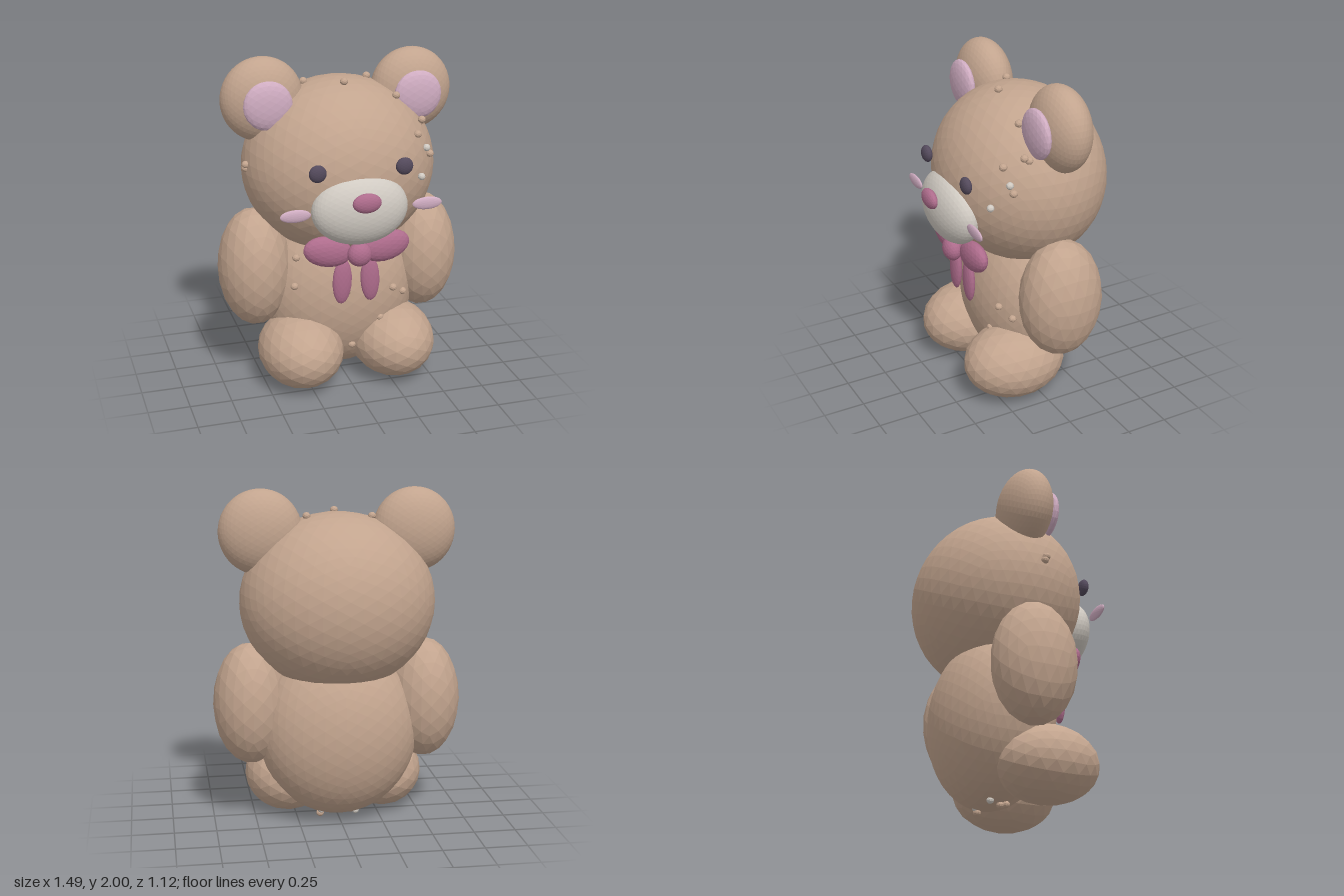
import * as THREE from 'three';

const mat = (name, color) => {
  const m = new THREE.MeshStandardMaterial({ color });
  m.name = name;
  m.flatShading = true;
  return m;
};

export function createModel() {
  const bear = new THREE.Group();
  bear.name = 'teddyBear';

  const fur = mat('tan fur', 0xc2a48e);
  const cream = mat('cream', 0xd0cac2);
  const pink = mat('dusty pink', 0xae6c8c);
  const blush = mat('pale pink', 0xd0adc2);
  const dark = mat('dark plum', 0x544a5c);

  // Faceted spheres shared by all parts
  const fine = new THREE.IcosahedronGeometry(1, 7);
  const coarse = new THREE.IcosahedronGeometry(1, 3);
  const tiny = new THREE.IcosahedronGeometry(1, 1);

  const blob = (name, geo, material, pos, radii, tilt = 0) => {
    const mesh = new THREE.Mesh(geo, material);
    mesh.name = name;
    mesh.position.set(...pos);
    mesh.scale.set(...radii);
    mesh.rotation.z = tilt;
    bear.add(mesh);
  };
  // Mirrored pair, given for the left (+x) side
  const pair = (name, geo, material, [x, y, z], radii, tilt = 0) => {
    blob(name + 'Left', geo, material, [x, y, z], radii, tilt);
    blob(name + 'Right', geo, material, [-x, y, z], radii, -tilt);
  };

  // Body and limbs
  blob('body', fine, fur, [0, 0.55, -0.085], [0.48, 0.52, 0.355]);
  pair('arm', coarse, fur, [0.525, 0.725, -0.052], [0.22, 0.367, 0.25]);
  pair('leg', coarse, fur, [0.29, 0.23, 0.125], [0.257, 0.227, 0.316]);

  // Head and ears
  blob('head', fine, fur, [0, 1.33, -0.06], [0.58, 0.53, 0.5]);
  pair('ear', fine, fur, [0.453, 1.75, -0.072], [0.245, 0.25, 0.152]);
  pair('innerEar', coarse, blush, [0.45, 1.745, 0.075], [0.145, 0.145, 0.047]);

  // Face
  blob('muzzle', fine, cream, [0, 1.19, 0.383], [0.285, 0.212, 0.137]);
  blob('nose', coarse, pink, [0, 1.268, 0.52], [0.085, 0.058, 0.035]);
  pair('eye', coarse, dark, [0.255, 1.43, 0.413], [0.051, 0.051, 0.029]);
  pair('cheek', coarse, blush, [0.39, 1.2, 0.43], [0.09, 0.038, 0.015]);

  // Bow tie
  pair('bowLoop', coarse, pink, [0.175, 0.925, 0.33], [0.148, 0.093, 0.056], 0.2);
  pair('bowTail', coarse, pink, [0.085, 0.725, 0.32], [0.058, 0.143, 0.03], 0.04);
  blob('bowKnot', coarse, pink, [0, 0.91, 0.385], [0.073, 0.073, 0.055]);

  // Small fur tufts
  const tufts = [
    [0, 1.855, 0.07], [-0.2, 1.835, -0.09], [0.185, 1.84, -0.09], [0.305, 1.76, 0.105],
    [0.45, 1.615, 0.15], [0.45, 1.595, 0.12], [0.39, 1.56, 0.25], [0.475, 1.43, 0.23],
    [-0.575, 1.39, 0.01], [-0.575, 1.365, 0.0],
    [-0.31, 0.82, 0.12], [-0.335, 0.66, 0.17], [-0.04, 0.63, 0.265], [0.265, 0.6, 0.215],
    [0.345, 0.545, 0.165], [0.18, 0.42, 0.225], [0.01, 0.25, 0.205],
    [-0.09, 0.035, -0.03], [-0.08, 0.03, -0.06], [0.115, 0.035, -0.12],
  ];
  tufts.forEach((p, i) => blob('tuft' + i, tiny, fur, p, [0.024, 0.022, 0.024]));
  const beads = [[0.45, 1.47, 0.24], [0.39, 1.328, 0.33], [-0.1, 0.045, -0.13], [0.11, 0.06, -0.13]];
  beads.forEach((p, i) => blob('paleTuft' + i, tiny, cream, p, [0.022, 0.022, 0.022]));

  return bear;
}
